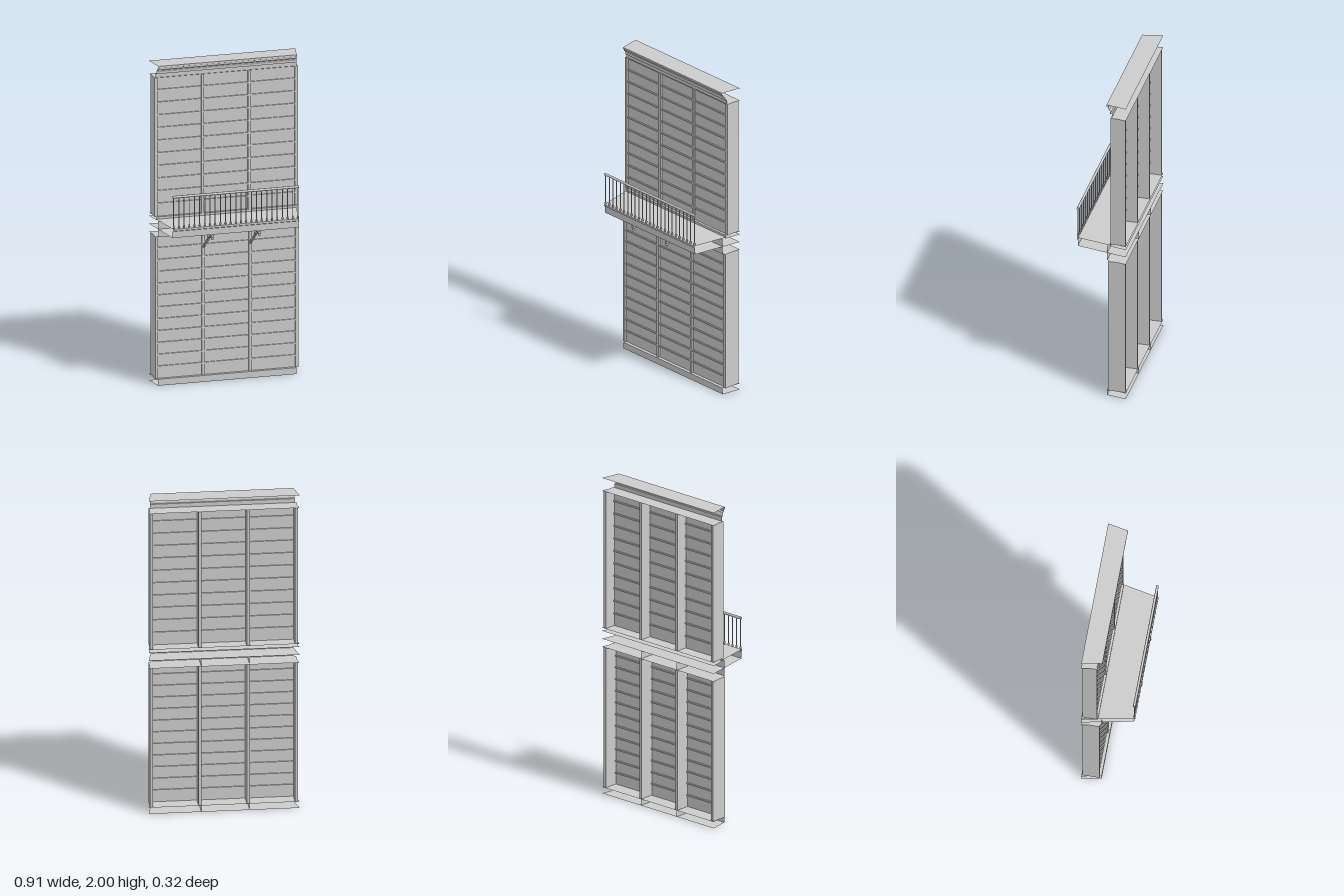
import * as THREE from 'three';

const mat = new THREE.MeshStandardMaterial({ color: 0xcccccc, side: THREE.DoubleSide, flatShading: true });
const smooth = new THREE.MeshStandardMaterial({ color: 0xcccccc });
const BACK = -0.16;
const POSTS = [-0.434, -0.145, 0.145, 0.434];

// Half width of the wedge-shaped bay at depth z
const half = z => 0.421 - 0.199 * z;

function add(parent, name, geometry, x = 0, y = 0, z = 0, material = mat) {
  const m = new THREE.Mesh(geometry, material);
  m.name = name;
  m.position.set(x, y, z);
  parent.add(m);
  return m;
}

// Open-ended strip across the bay following a [z, y] profile
function band(parent, name, profile) {
  const pos = [];
  for (let i = 0; i < profile.length - 1; i++) {
    const [z0, y0] = profile[i], [z1, y1] = profile[i + 1];
    const a = [-half(z0), y0, z0], b = [half(z0), y0, z0];
    const c = [half(z1), y1, z1], d = [-half(z1), y1, z1];
    pos.push(...a, ...b, ...c, ...a, ...c, ...d);
  }
  const g = new THREE.BufferGeometry();
  g.setAttribute('position', new THREE.Float32BufferAttribute(pos, 3));
  g.computeVertexNormals();
  return add(parent, name, g);
}

// Posts, boarded panels and horizontal battens for one storey
function storey(parent, name, y0, y1, front, rows) {
  const g = new THREE.Group();
  g.name = name;
  parent.add(g);
  const h = y1 - y0, mid = (y0 + y1) / 2, panelZ = front - 0.013, depth = front + 0.155;
  for (const x of POSTS) add(g, 'post', new THREE.BoxGeometry(0.018, h, depth), x, mid, front - depth / 2);
  for (let bay = 0; bay < 3; bay++) {
    const x = (POSTS[bay] + POSTS[bay + 1]) / 2;
    add(g, 'wallPanel', new THREE.BoxGeometry(0.271, h, 0.005), x, mid, panelZ);
    for (let r = 1; r < rows; r++)
      add(g, 'batten', new THREE.BoxGeometry(0.271, 0.009, 0.02), x, y0 + h * r / rows, panelZ);
  }
}

// Hollow beam with two inner dividers
function beam(parent, name, y0, y1, front) {
  band(parent, name, [[BACK, y0], [front, y0], [front, y1], [BACK, y1]]);
  for (const x of [-0.153, 0.137]) {
    const d = add(parent, name + 'Divider', new THREE.PlaneGeometry(front - BACK, y1 - y0), x, (y0 + y1) / 2, (front + BACK) / 2);
    d.rotation.y = Math.PI / 2;
  }
}

export function createModel() {
  const model = new THREE.Group();
  model.name = 'facadeBay';

  // Lower storey between plinth and beam
  beam(model, 'plinth', 0, 0.04, -0.04);
  storey(model, 'lowerWall', 0.04, 0.93, -0.05, 12);
  beam(model, 'floorBeam', 0.93, 0.98, -0.04);
  band(model, 'frieze', [[-0.04, 0.98], [-0.04, 1.03]]);

  // Upper storey
  band(model, 'upperSill', [[BACK, 1.03], [-0.06, 1.03], [-0.06, 1.05], [BACK, 1.05]]);
  storey(model, 'upperWall', 1.05, 1.92, -0.065, 11);
  band(model, 'wallCap', [[BACK, 1.92], [-0.065, 1.92]]);

  // Stepped cornice leaning out to the roof plate
  band(model, 'cornice', [[-0.07, 1.92], [-0.07, 1.945], [-0.06, 1.945], [-0.06, 1.955],
    [-0.054, 1.97], [-0.044, 1.975], [-0.044, 1.985], [-0.036, 1.988], [-0.036, 2], [BACK, 2]]);

  // Balcony deck with nosing
  band(model, 'balcony', [[-0.04, 0.98], [0.15, 0.98], [0.15, 1.02], [0.156, 1.024], [0.156, 1.036], [-0.06, 1.036]]);

  // Railing
  const rail = new THREE.Group();
  rail.name = 'railing';
  model.add(rail);
  add(rail, 'handrail', new THREE.CylinderGeometry(0.008, 0.008, 0.78, 10), 0, 1.235, 0.15, smooth).rotation.z = Math.PI / 2;
  const baluster = new THREE.LatheGeometry([[0.003, 0], [0.006, 0.008], [0.006, 0.014], [0.003, 0.022], [0.003, 0.195]]
    .map(p => new THREE.Vector2(...p)), 8);
  const count = 25;
  for (let i = 0; i < count; i++)
    add(rail, 'baluster', baluster, -0.384 + 0.768 * i / (count - 1), 1.036, 0.15, smooth);

  // Brackets: arm, diagonal strut and bolts
  for (const x of [-0.145, 0.145]) {
    const b = new THREE.Group();
    b.name = 'bracket';
    b.position.x = x;
    model.add(b);
    add(b, 'bracketArm', new THREE.BoxGeometry(0.016, 0.014, 0.195), 0, 0.972, 0.0575);
    const dz = 0.16, dy = 0.12;
    add(b, 'bracketStrut', new THREE.BoxGeometry(0.012, 0.011, Math.hypot(dz, dy)), 0, 0.905, 0.03)
      .rotation.x = -Math.atan2(dy, dz);
    add(b, 'bracketKnob', new THREE.SphereGeometry(0.009, 10, 8), 0, 0.957, 0.148, smooth);
    add(b, 'bracketBolt', new THREE.CylinderGeometry(0.006, 0.006, 0.036, 8), 0, 0.955, 0.1, smooth).rotation.z = Math.PI / 2;
  }
  return model;
}
